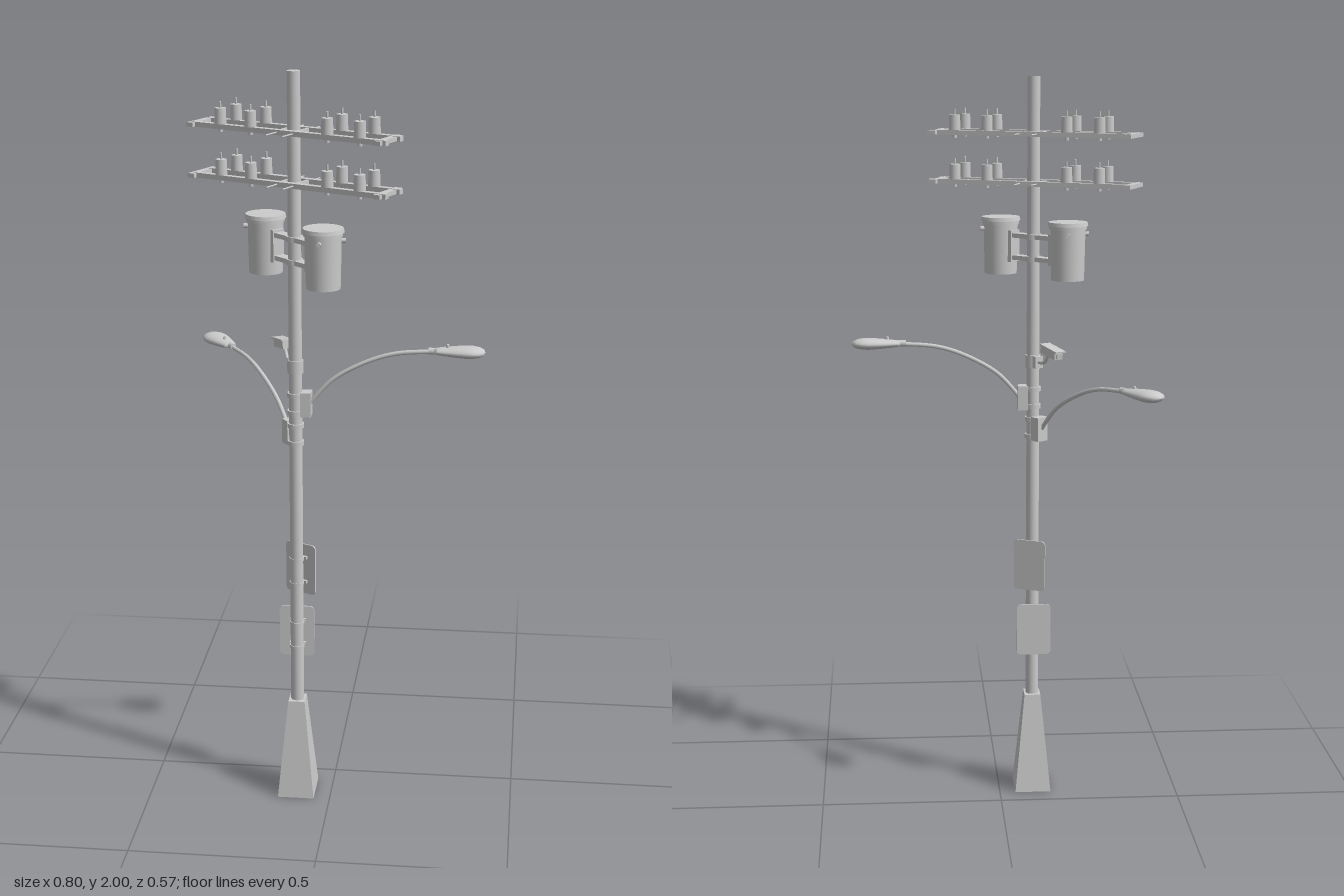
import * as THREE from 'three';

const grey = new THREE.MeshStandardMaterial({ color: 0xcccccc });
const flat = new THREE.MeshStandardMaterial({ color: 0xcccccc, flatShading: true });

function add(parent, name, geometry, x = 0, y = 0, z = 0, material = grey) {
  const mesh = new THREE.Mesh(geometry, material);
  mesh.name = name;
  mesh.position.set(x, y, z);
  parent.add(mesh);
  return mesh;
}
const box = (w, h, d) => new THREE.BoxGeometry(w, h, d);
const cyl = (rTop, rBottom, h, n = 16) => new THREE.CylinderGeometry(rTop, rBottom, h, n);

function group(parent, name, y = 0, yaw = 0) {
  const g = new THREE.Group();
  g.name = name;
  g.position.y = y;
  g.rotation.y = yaw;
  parent.add(g);
  return g;
}

// Double crossarm with end ties, through bolts and eight insulators
function crossarm(parent, y) {
  const g = group(parent, 'crossarm', y, -0.433);
  for (const z of [-0.036, 0.036]) {
    add(g, 'armBeam', box(0.57, 0.013, 0.017), 0.005, 0, z);
    for (const x of [-0.197, -0.106, 0.12, 0.213]) {
      add(g, 'insulatorPin', cyl(0.003, 0.003, 0.076, 8), x, 0.025, z);
      add(g, 'insulatorBody', cyl(0.0145, 0.0155, 0.04, 16), x, 0.027, z);
      add(g, 'insulatorNut', cyl(0.006, 0.006, 0.01, 8), x, -0.009, z);
    }
  }
  for (const x of [-0.279, 0.271]) add(g, 'endTie', box(0.019, 0.011, 0.112), x, 0, 0);
  for (const x of [-0.024, 0.024]) {
    add(g, 'throughBolt', cyl(0.0022, 0.0022, 0.178, 8), x, 0, 0.004).rotation.x = Math.PI / 2;
    add(g, 'spacer', box(0.008, 0.01, 0.06), x, 0, 0);
  }
}

// Transformer tank hung on a bracket, facing local +x
function transformer(parent, yaw) {
  const g = group(parent, 'transformer', 0, yaw);
  const d = 0.117;
  add(g, 'tank', cyl(0.047, 0.044, 0.145, 28), d, 1.54, 0);
  add(g, 'lid', cyl(0.052, 0.054, 0.01, 28), d, 1.617, 0);
  add(g, 'lidRim', cyl(0.05, 0.05, 0.01, 28), d, 1.608, 0);
  for (const y of [1.575, 1.515]) {
    add(g, 'bracketBar', box(0.06, 0.012, 0.03), 0.046, y, 0);
    add(g, 'poleClamp', cyl(0.022, 0.022, 0.014, 16), 0, y, 0);
  }
  add(g, 'hangerPlate', box(0.012, 0.085, 0.036), 0.07, 1.545, 0);
  for (const a of [-0.9, 0.9]) {
    const lug = add(g, 'terminal', cyl(0.006, 0.006, 0.014, 8),
      d + 0.05 * Math.cos(a), 1.59, 0.05 * Math.sin(a));
    lug.rotation.set(0, -a, Math.PI / 2);
  }
}

// Street lamp reaching along local +x, y measured at its bracket
function streetLamp(parent, y, yaw) {
  const g = group(parent, 'streetLamp', y, yaw);
  add(g, 'lampBracket', box(0.028, 0.066, 0.036), 0.028, 0, 0);
  for (const dy of [-0.024, 0.024]) add(g, 'lampBand', cyl(0.022, 0.022, 0.012, 16), 0, dy, 0);
  const path = new THREE.CatmullRomCurve3([
    [0.035, -0.002], [0.055, 0.024], [0.1, 0.07], [0.18, 0.116], [0.26, 0.143], [0.38, 0.153],
  ].map(([x, h]) => new THREE.Vector3(x, h, 0)));
  add(g, 'lampArm', new THREE.TubeGeometry(path, 32, 0.0058, 10));
  const profile = [[0, 0], [0.016, 0], [0.019, 0.008], [0.023, 0.022], [0.03, 0.055],
    [0.034, 0.083], [0.033, 0.1], [0.027, 0.116], [0.016, 0.127], [0, 0.131]];
  const head = new THREE.LatheGeometry(profile.map((p) => new THREE.Vector2(...p)), 28);
  head.rotateZ(-Math.PI / 2);
  head.scale(1, 0.46, 1);
  add(g, 'lampHead', head, 0.363, 0.153, 0);
  add(g, 'lampCollar', cyl(0.009, 0.009, 0.02, 12), 0.357, 0.153, 0).rotation.z = Math.PI / 2;
  add(g, 'photocell', cyl(0.004, 0.005, 0.008, 10), 0.397, 0.168, 0);
}

// Rounded sign plate clamped behind the pole
function sign(parent, x, y, w, h, yaw) {
  const g = group(parent, 'sign', y, yaw);
  const a = w / 2, b = h / 2, r = 0.012;
  const s = new THREE.Shape();
  s.absarc(a - r, b - r, r, 0, Math.PI / 2);
  s.absarc(-a + r, b - r, r, Math.PI / 2, Math.PI);
  s.absarc(-a + r, -b + r, r, Math.PI, Math.PI * 1.5);
  s.absarc(a - r, -b + r, r, Math.PI * 1.5, Math.PI * 2);
  add(g, 'signPlate', new THREE.ExtrudeGeometry(s, { depth: 0.004, bevelEnabled: false, curveSegments: 5 }), x, 0, -0.024);
  for (const dy of [-0.035, 0.035]) {
    add(g, 'signBand', cyl(0.02, 0.02, 0.008, 16), 0, dy, 0);
    add(g, 'signClamp', box(0.044, 0.008, 0.008), 0, dy, -0.016);
  }
}

// Security camera on a short arm, facing local +x
function camera(parent) {
  const g = group(parent, 'securityCamera', 1.235, 2.05);
  add(g, 'cameraBand', cyl(0.021, 0.021, 0.035, 16), 0, 0, 0);
  add(g, 'cameraMount', box(0.016, 0.032, 0.024), 0.024, 0, 0);
  const path = new THREE.CatmullRomCurve3([
    new THREE.Vector3(0.025, 0, 0), new THREE.Vector3(0.06, 0.006, 0), new THREE.Vector3(0.08, 0.03, 0)]);
  add(g, 'cameraArm', new THREE.TubeGeometry(path, 10, 0.005, 8));
  const body = group(g, 'cameraBody', 0.038);
  body.position.x = 0.095;
  body.rotation.z = -0.15;
  add(body, 'housing', box(0.07, 0.022, 0.026));
  add(body, 'sunShield', box(0.082, 0.004, 0.032), 0.003, 0.012, 0);
  add(body, 'lens', cyl(0.009, 0.009, 0.008, 12), 0.037, -0.001, 0).rotation.z = Math.PI / 2;
}

export function createModel() {
  const model = new THREE.Group();
  model.name = 'utilityPole';
  const pole = group(model, 'poleAssembly');
  pole.position.set(-0.094, 0, 0.114);

  // Tapered square foot and round pole
  const foot = cyl(0.0225 * Math.SQRT2, 0.05 * Math.SQRT2, 0.28, 4);
  foot.rotateY(Math.PI / 4);
  foot.scale(1, 1, 1.17);
  add(pole, 'base', foot, 0, 0.14, 0, flat);
  add(pole, 'pole', cyl(0.017, 0.018, 1.74, 20), 0, 1.13, 0);

  for (const y of [1.85, 1.719]) crossarm(pole, y);
  for (const yaw of [-0.78, Math.PI - 0.75]) transformer(pole, yaw);
  streetLamp(pole, 1.134, 0);
  streetLamp(pole, 1.05, 2.214);
  camera(pole);
  sign(pole, 0, 0.66, 0.092, 0.143, -0.433);
  sign(pole, -0.003, 0.473, 0.095, 0.147, 0);
  return model;
}
